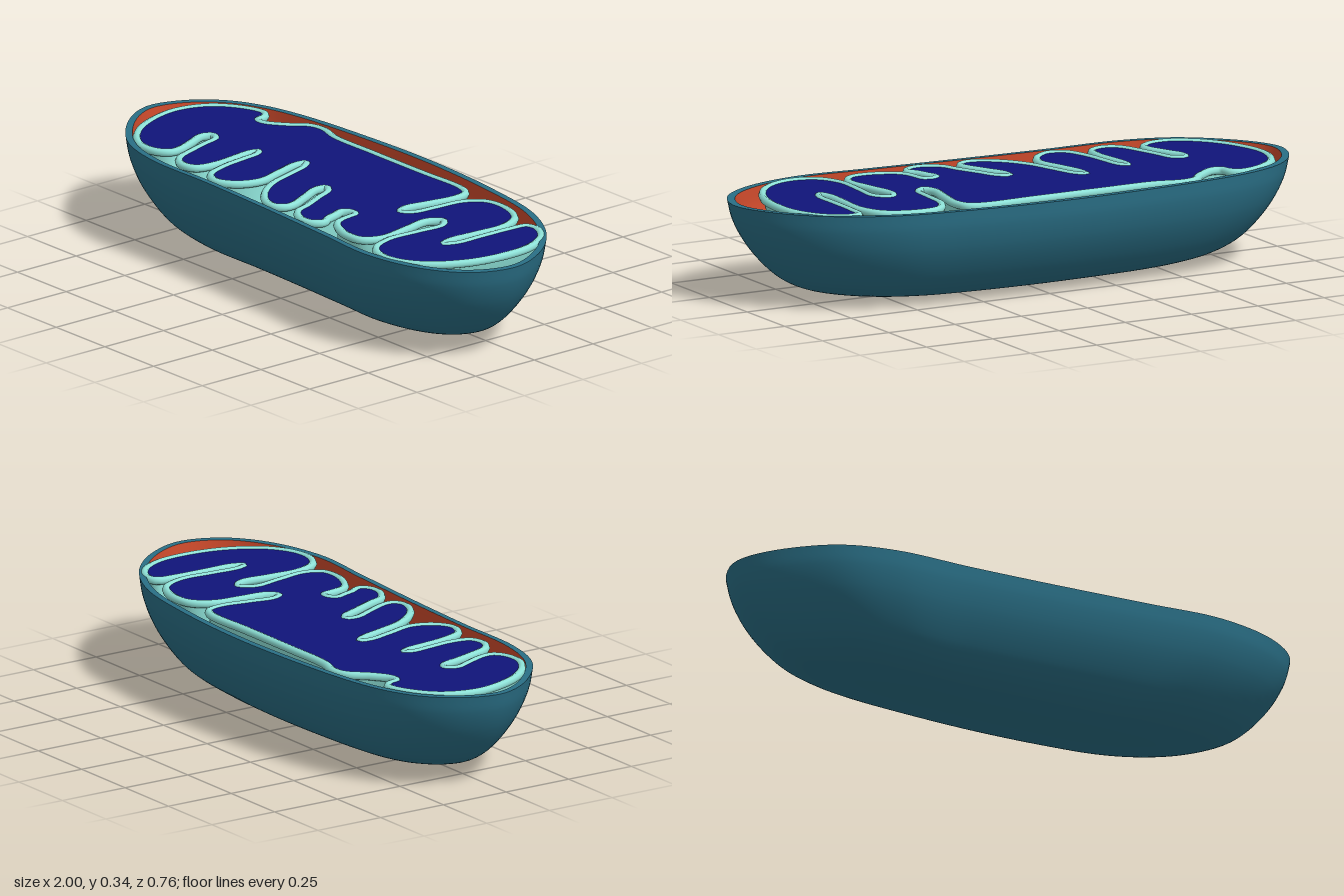
import * as THREE from 'three';

const P = (x, z) => new THREE.Vector3(x, 0, z);
const closedLoop = (pts) => new THREE.CatmullRomCurve3(pts, true, 'centripetal');

// Outline of the capsule seen from above, clockwise
const OUTLINE = [
  [-1, -0.03], [-0.96, -0.15], [-0.87, -0.25], [-0.75, -0.31], [-0.6, -0.345], [-0.35, -0.37],
  [0, -0.382], [0.36, -0.358], [0.62, -0.31], [0.81, -0.21], [0.94, -0.07], [0.998, 0.08],
  [0.95, 0.22], [0.82, 0.32], [0.6, 0.375], [0.35, 0.36], [0, 0.338], [-0.3, 0.325],
  [-0.58, 0.32], [-0.76, 0.27], [-0.9, 0.16], [-0.98, 0.05],
].map(([x, z]) => P(x, z));

// Vertical profile: x scale, height, z scale from rim to keel
const PROFILE = new THREE.CatmullRomCurve3([
  [1, 0.34, 1], [0.985, 0.28, 0.985], [0.945, 0.2, 0.92], [0.86, 0.1, 0.76],
  [0.78, 0.05, 0.62], [0.66, 0.018, 0.45], [0.5, 0.005, 0.28], [0, 0, 0],
].map((p) => new THREE.Vector3(...p)), false, 'centripetal').getPoints(35);

// An inward fold: two sides and a rounded tip, from the mouth (mx, mz) to the tip (tx, tz)
function fold(mx, mz, tx, tz, wMouth, wTip) {
  const len = Math.hypot(tx - mx, tz - mz);
  const nx = -(tz - mz) / len, nz = (tx - mx) / len;
  const at = (t, w) => P(mx + (tx - mx) * t + nx * w, mz + (tz - mz) * t + nz * w);
  const mid = (wMouth + wTip) / 2;
  return [at(0, wMouth), at(0.45, mid), at(0.85, wTip), at(1, 0),
    at(0.85, -wTip), at(0.45, -mid), at(0, -wMouth)];
}
const run = (...pts) => pts.map(([x, z]) => P(x, z));

// Folded inner membrane: rounded lobes alternating with folds, clockwise
const MEMBRANE = closedLoop([
  ...run([-0.915, -0.05], [-0.88, -0.17], [-0.8, -0.24], [-0.715, -0.268], [-0.685, -0.25],
    [-0.67, -0.207], [-0.635, -0.202], [-0.57, -0.245], [-0.515, -0.3], [-0.46, -0.312],
    [-0.37, -0.29], [-0.18, -0.288], [0.085, -0.288], [0.27, -0.29], [0.32, -0.27]),
  ...fold(0.36, -0.21, 0.33, 0.015, 0.025, 0.028),
  ...run([0.435, -0.268], [0.525, -0.275], [0.615, -0.235]),
  ...fold(0.672, -0.15, 0.665, 0.11, 0.018, 0.019),
  ...run([0.70, -0.215], [0.74, -0.225], [0.81, -0.185], [0.86, -0.095], [0.87, 0.03],
    [0.845, 0.16], [0.78, 0.27], [0.7, 0.325], [0.62, 0.335], [0.55, 0.3]),
  ...fold(0.5, 0.22, 0.483, -0.04, 0.015, 0.036),
  ...run([0.455, 0.28], [0.38, 0.288], [0.29, 0.25]),
  ...fold(0.245, 0.225, 0.222, 0.135, 0.024, 0.028),
  ...run([0.242, 0.27], [0.22, 0.3], [0.17, 0.305], [0.11, 0.268]),
  ...fold(0.065, 0.22, -0.015, 0.045, 0.024, 0.022),
  ...run([0.045, 0.265], [0.02, 0.29], [-0.03, 0.285], [-0.1, 0.235]),
  ...fold(-0.18, 0.16, -0.245, -0.06, 0.025, 0.018),
  ...run([-0.23, 0.24], [-0.29, 0.28], [-0.35, 0.258]),
  ...fold(-0.405, 0.17, -0.428, -0.012, 0.019, 0.015),
  ...run([-0.44, 0.245], [-0.49, 0.262], [-0.54, 0.235]),
  ...fold(-0.595, 0.16, -0.65, 0.002, 0.022, 0.027),
  ...run([-0.615, 0.21], [-0.65, 0.24], [-0.72, 0.245], [-0.8, 0.2], [-0.87, 0.11]),
]);

// Skin a closed loop of points through levels of {x scale, y, z scale}
function loft(loop, levels) {
  const n = loop.length, pos = [], index = [];
  for (const l of levels) for (const p of loop) pos.push(p.x * l.x, l.y, p.z * l.z);
  for (let k = 0; k < levels.length - 1; k++) {
    for (let i = 0; i < n; i++) {
      const j = (i + 1) % n, a = k * n + i, b = k * n + j;
      index.push(a, b, a + n, b, b + n, a + n);
    }
  }
  const g = new THREE.BufferGeometry();
  g.setAttribute('position', new THREE.Float32BufferAttribute(pos, 3));
  g.setIndex(index);
  g.computeVertexNormals();
  return g;
}
// The profile with scaled width and a remapped height
const levels = (sx, sz, lift, sy) =>
  PROFILE.map((p) => new THREE.Vector3(p.x * sx, lift + p.y * sy, p.z * sz));

export function createModel() {
  const group = new THREE.Group();
  const add = (name, geometry, color) => {
    const mesh = new THREE.Mesh(geometry, new THREE.MeshStandardMaterial({ color }));
    mesh.name = name;
    group.add(mesh);
  };
  const TEAL = 0x2a6f86, ORANGE = 0xc8482a, MINT = 0x8fe3d9, BLUE = 0x10147a;

  // Outer shell, its flat rim and the coloured lining
  const outline = closedLoop(OUTLINE).getSpacedPoints(160).slice(0, -1);
  const lining = levels(0.975, 0.94, 0.015, 0.956);
  add('outerShell', loft(outline, levels(1, 1, 0, 1)), TEAL);
  add('shellRim', loft(outline, [new THREE.Vector3(0.975, 0.34, 0.94), new THREE.Vector3(1, 0.34, 1)]), TEAL);
  add('shellLining', loft(outline, lining.reverse()), ORANGE);

  // Folded membrane wall, tapering with the shell, with a rounded lip
  const folds = MEMBRANE.getSpacedPoints(600).slice(0, -1);
  add('innerMembrane', loft(folds, levels(1, 1, 0.03, 0.89)), MINT);
  const lip = new THREE.TubeGeometry(MEMBRANE, 700, 0.014, 8, true);
  lip.translate(0, 0.331, 0);
  add('membraneLip', lip, MINT);

  // Flat matrix surface inside the membrane
  const shape = new THREE.Shape(folds.map((p) => new THREE.Vector2(p.x, -p.z)));
  const matrix = new THREE.ShapeGeometry(shape);
  matrix.rotateX(-Math.PI / 2).translate(0, 0.338, 0);
  add('matrix', matrix, BLUE);
  return group;
}
